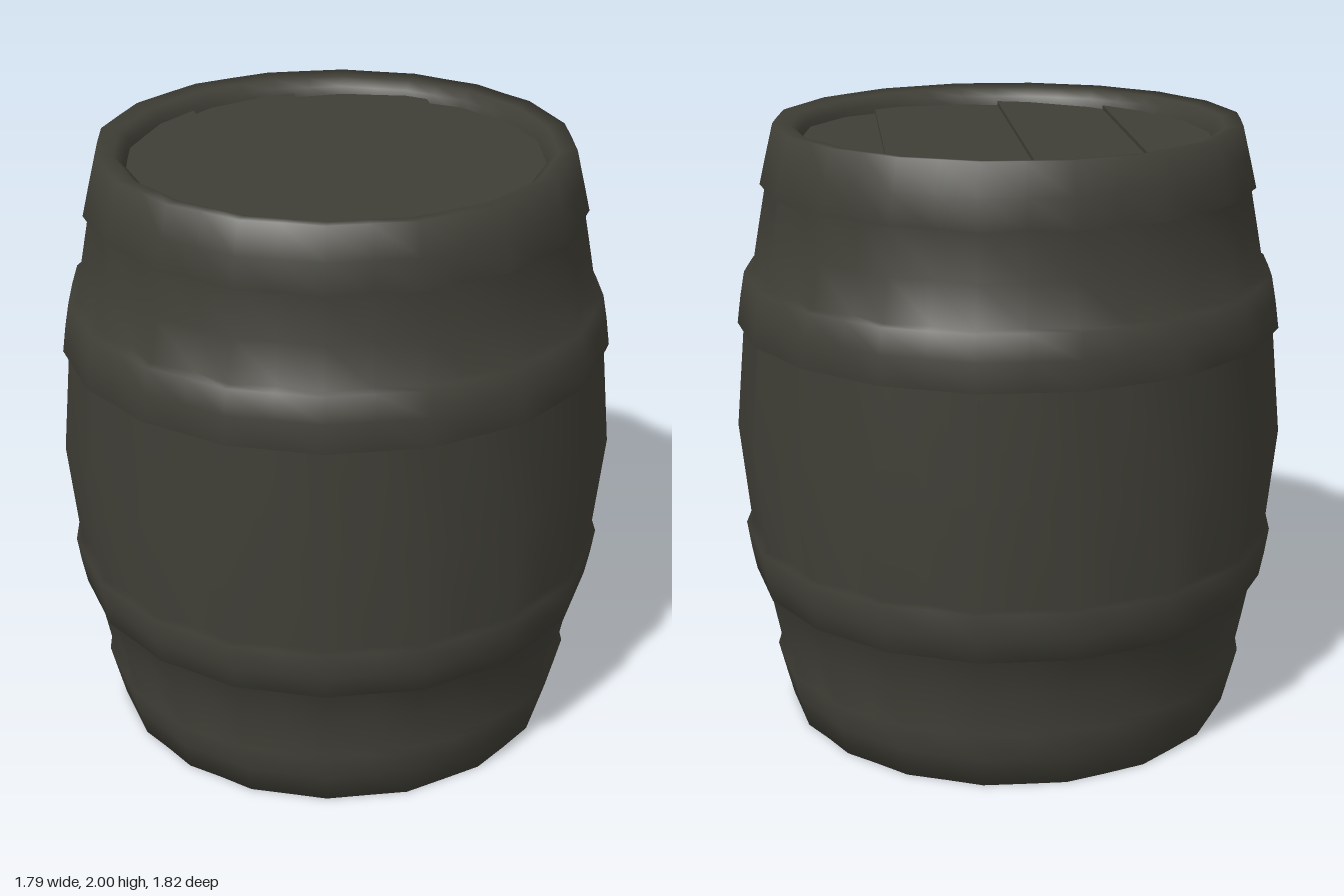
import * as THREE from 'three';
import { mergeVertices } from 'three/addons/utils/BufferGeometryUtils.js';

const SIDES = 18;
const GRAIN = THREE.MathUtils.degToRad(40); // direction of the lid planks
const FLAT = Math.cos(Math.PI / SIDES);     // middle of a flat side, relative to its corners
const HOLLOW = 0.967;                       // middle of a slightly hollow stave

// Small repeatable unevenness, -1..1
function wobble(i, j) {
  const s = Math.sin(i * 127.1 + j * 311.7) * 43758.5453;
  return (s - Math.floor(s)) * 2 - 1;
}

// 18-sided turned surface from [radius, height, mid-side factor], soft normals throughout
function turned(profile) {
  const points = profile.map(([r, y]) => new THREE.Vector2(r, y));
  let geo = new THREE.LatheGeometry(points, SIDES * 2);
  const pos = geo.attributes.position;
  for (let i = 0; i < pos.count; i++) {
    const step = Math.floor(i / points.length) % (SIDES * 2);
    const [radius, , mid] = profile[i % points.length];
    const uneven = mid === HOLLOW ? 0.004 : 0.002;
    const r = radius * (step % 2 ? mid : 1) * (1 + uneven * wobble(step, 3));
    // staves are a little wider at the sides than at the front and back
    const a = step / SIDES * Math.PI;
    const warped = a - 0.036 * Math.sin(2 * a);
    pos.setX(i, r * Math.sin(warped));
    pos.setZ(i, r * Math.cos(warped));
  }
  geo.deleteAttribute('uv');
  geo.deleteAttribute('normal');
  geo = mergeVertices(geo);
  geo.computeVertexNormals();
  return geo;
}

// One lid plank: the strip of a disc between v0 and v1, tilted a little across
function plank(v0, v1, tilt) {
  const R = 0.675, depth = 0.03, steps = 6;
  const a0 = Math.asin(v0 / R), a1 = Math.asin(v1 / R);
  const right = [], left = [];
  for (let i = 0; i <= steps; i++) {
    const a = a0 + (a1 - a0) * i / steps;
    right.push(new THREE.Vector2(R * Math.cos(a), R * Math.sin(a)));
    left.unshift(new THREE.Vector2(-R * Math.cos(a), R * Math.sin(a)));
  }
  // the outermost planks end in a single point
  if (Math.abs(v1) > R - 0.001) left.shift();
  if (Math.abs(v0) > R - 0.001) left.pop();
  const geo = new THREE.ExtrudeGeometry(new THREE.Shape([...right, ...left]), { depth, bevelEnabled: false });
  const pos = geo.attributes.position;
  for (let i = 0; i < pos.count; i++) {
    const t = (pos.getY(i) - v0) / (v1 - v0) - 0.5;
    pos.setZ(i, pos.getZ(i) + tilt * t);
  }
  geo.rotateX(-Math.PI / 2);
  geo.rotateY(-GRAIN);
  geo.computeVertexNormals();
  return geo;
}

export function createModel() {
  const barrel = new THREE.Group();
  barrel.name = 'barrel';
  const wood = new THREE.MeshStandardMaterial({ color: 0x3f3e36 });
  wood.name = 'dark weathered wood';

  const add = (parent, name, geo) => {
    const mesh = new THREE.Mesh(geo, wood);
    mesh.name = name;
    parent.add(mesh);
    return mesh;
  };

  // Bulging wall with its hoops, from mid-height up to the inner lip, mirrored downwards
  const upper = [
    [0.877, 0.346, HOLLOW], [0.895, 0.35, FLAT], [0.882, 0.44, FLAT], [0.867, 0.52, FLAT], // middle hoop
    [0.842, 0.525, HOLLOW], [0.817, 0.66, HOLLOW], [0.79, 0.8, HOLLOW], // staves
    [0.805, 0.805, FLAT], [0.782, 0.9, FLAT], [0.757, 1, FLAT], // rim hoop
    [0.7, 0.992, FLAT], [0.67, 0.965, FLAT], [0.662, 0.92, FLAT], // inner lip
  ];
  const lower = upper.map(([r, y, mid]) => [r, -y, mid]).reverse();
  const wall = add(barrel, 'stavesAndHoops', turned([...lower, [0.91, 0, HOLLOW], ...upper]));
  wall.position.y = 1;

  // Recessed plank lid at each end
  const cuts = [-0.675, -0.39, -0.03, 0.41, 0.675];
  const tilts = [0.012, 0.014, 0.014, 0.012];
  for (const name of ['top', 'bottom']) {
    const end = new THREE.Group();
    end.name = name + 'End';
    end.position.y = 1;
    if (name === 'bottom') {
      end.quaternion.setFromAxisAngle(new THREE.Vector3(Math.cos(GRAIN), 0, Math.sin(GRAIN)), Math.PI);
    }
    const lid = new THREE.Group();
    lid.name = name + 'Lid';
    lid.position.y = 0.912;
    tilts.forEach((tilt, i) => add(lid, 'lidPlank' + (i + 1), plank(cuts[i], cuts[i + 1], tilt)));
    end.add(lid);
    barrel.add(end);
  }
  return barrel;
}
